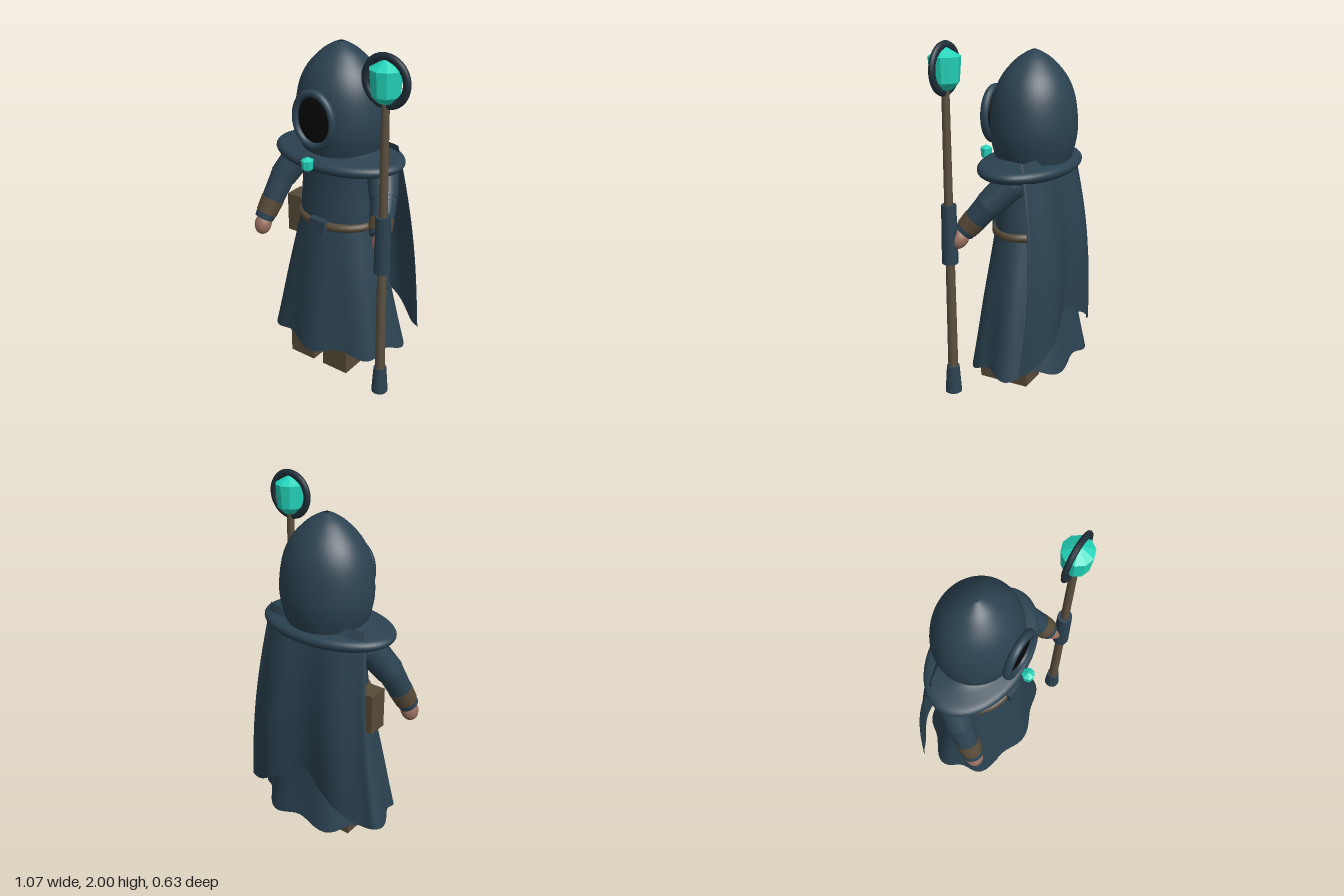
import * as THREE from 'three';
import { mergeVertices } from 'three/addons/utils/BufferGeometryUtils.js';

const mat = (name, color, extra = {}) => {
  const m = new THREE.MeshStandardMaterial({ color, ...extra });
  m.name = name;
  return m;
};
const cloth = mat('slate blue cloth', 0x2b4251, { side: THREE.DoubleSide });
const dark = mat('dark iron', 0x1f2e39);
const leather = mat('brown leather', 0x574a38);
const wood = mat('brown wood', 0x5b4f3f);
const skin = mat('skin', 0x9a7060);
const black = mat('shadow black', 0x060606);
const crystal = mat('teal crystal', 0x22d4ba, { flatShading: true });

const CX = -0.07; // body axis
const V = (x, y, z) => new THREE.Vector3(x, y, z);

export function createModel() {
  const root = new THREE.Group();

  const add = (name, geo, material, x = 0, y = 0, z = 0) => {
    const m = new THREE.Mesh(geo, material);
    m.name = name;
    m.position.set(x, y, z);
    root.add(m);
    return m;
  };

  // Moves each vertex by a rule, then rebuilds seamless smooth normals
  const warp = (geo, rule) => {
    const p = geo.attributes.position, v = V(0, 0, 0);
    for (let i = 0; i < p.count; i++) {
      rule(v.fromBufferAttribute(p, i));
      p.setXYZ(i, v.x, v.y, v.z);
    }
    geo.deleteAttribute('uv');
    geo.deleteAttribute('normal');
    const out = mergeVertices(geo, 1e-5);
    out.computeVertexNormals();
    return out;
  };

  // Smooth revolved profile squashed in depth; points are [radius, y] upward
  const lathe = (pts, depth, segs = 48, steps = 24) => {
    const curve = new THREE.SplineCurve(pts.map(([r, y]) => new THREE.Vector2(r, y)));
    return warp(new THREE.LatheGeometry(curve.getPoints(steps), segs), v => { v.z *= depth; });
  };

  // Tapered round limb between two points
  const limb = (name, a, b, ra, rb, material, sides = 16) => {
    const m = add(name, new THREE.CylinderGeometry(rb, ra, a.distanceTo(b), sides), material);
    m.position.copy(a).lerp(b, 0.5);
    m.quaternion.setFromUnitVectors(V(0, 1, 0), b.clone().sub(a).normalize());
    return m;
  };
  const ball = (name, p, r, material, sx = 1, sy = 1, sz = 1) => {
    const m = add(name, new THREE.SphereGeometry(r, 20, 14), material, p.x, p.y, p.z);
    m.scale.set(sx, sy, sz);
    return m;
  };

  // Hood with dark face opening and rolled rim
  add('hood', lathe([[0.215, 1.3], [0.25, 1.41], [0.262, 1.52], [0.242, 1.67], [0.192, 1.78],
    [0.112, 1.865], [0.05, 1.905], [0.015, 1.92]], 0.905), cloth, CX, 0, -0.05);
  ball('faceShadow', V(CX, 1.55, 0.187), 0.115, black, 0.95, 1.2, 0.2);
  const rim = add('hoodRim', new THREE.TorusGeometry(0.122, 0.018, 12, 40), cloth, CX, 1.55, 0.195);
  rim.scale.set(1, 1.2, 1.3);

  // Collar and clasp
  add('collar', lathe([[0.22, 1.25], [0.32, 1.25], [0.38, 1.267], [0.402, 1.295], [0.38, 1.32],
    [0.32, 1.332], [0.25, 1.345], [0.2, 1.37]], 0.64), cloth, CX, 0, -0.03);
  const gemGeo = (r, h, sides) => new THREE.LatheGeometry([[0, 0], [0.45, 0.01], [0.88, 0.18],
    [1, 0.77], [0, 1]].map(([a, b]) => new THREE.Vector2(a * r, b * h)), sides);
  add('claspGem', gemGeo(0.035, 0.08, 7), crystal, CX, 1.283, 0.255);

  // Torso and folded skirt, deeper at the back
  add('torso', lathe([[0.235, 0.9], [0.235, 0.97], [0.225, 1.1], [0.222, 1.22], [0.23, 1.3]], 0.72),
    cloth, CX, 0, -0.02);
  const skirtLine = new THREE.SplineCurve([[0.41, 0.15], [0.375, 0.3], [0.32, 0.55], [0.26, 0.8], [0.23, 0.93]]
    .map(([r, y]) => new THREE.Vector2(r, y)));
  add('skirt', warp(new THREE.LatheGeometry(skirtLine.getPoints(20), 84), v => {
    const a = Math.atan2(v.x, v.z), t = (0.93 - v.y) / 0.78;
    const fold = 1 + 0.055 * t * Math.cos(7 * a);
    v.x *= fold;
    v.z *= fold * (0.74 - 0.06 * t) * (v.z < 0 ? 1 + 0.11 * t : 1);
    v.y -= 0.02 * t * t * t * Math.cos(7 * a);
  }), cloth, CX, 0, -0.015);

  // Belt, buckle and pouch
  const belt = add('belt', new THREE.TorusGeometry(0.23, 0.025, 10, 48).rotateX(Math.PI / 2),
    leather, CX, 0.92, -0.02);
  belt.scale.z = 0.76;
  add('buckle', new THREE.BoxGeometry(0.1, 0.08, 0.04), cloth, CX, 0.92, 0.17);
  add('pouch', new THREE.BoxGeometry(0.15, 0.235, 0.12), leather, -0.327, 0.852, -0.025);

  // Cape: curved sheet widening downward, with broad folds and a hem rising at the middle
  add('cape', warp(new THREE.PlaneGeometry(2, 1, 72, 24), v => {
    const u = v.x, t = 0.5 - v.y;
    const a = u * Math.PI / 2, bulge = Math.sin(Math.PI * t);
    const fold = 0.027 * Math.sqrt(t) * Math.cos(u * 8.5) * (1 - u * u);
    const end = -0.13 - 0.06 * t - 0.05 * bulge;
    const mid = -0.17 - 0.115 * Math.sqrt(t) - 0.03 * bulge;
    const hem = 0.21 + 0.1 * (1 + Math.cos(Math.PI * Math.min(1, Math.abs(u) / 0.75)));
    v.x = CX + (0.32 + 0.13 * t) * Math.sin(a);
    v.z = end + (mid - end) * Math.cos(a) + fold;
    v.y = 1.37 + (hem - 1.37) * t;
  }), cloth);

  // Boots and legs
  for (const s of [-1, 1]) {
    add('boot', new THREE.BoxGeometry(0.17, 0.17, 0.3), leather, CX + s * 0.12, 0.085, 0.042);
    add('leg', new THREE.CylinderGeometry(0.075, 0.075, 0.5, 16), cloth, CX + s * 0.12, 0.4, -0.03);
  }

  // Arms: sleeve, forearm, leather cuff, trim and hand
  const arm = (shoulder, elbow, wrist, hand) => {
    const at = t => elbow.clone().lerp(wrist, t);
    ball('shoulder', shoulder, 0.088, cloth);
    limb('upperSleeve', shoulder, elbow, 0.088, 0.078, cloth);
    ball('elbow', elbow, 0.074, cloth);
    limb('forearmSleeve', elbow, at(0.7), 0.073, 0.064, cloth);
    limb('cuff', at(0.53), at(0.87), 0.069, 0.063, leather);
    limb('cuffTrim', at(0.85), wrist, 0.06, 0.057, cloth);
    const palm = ball('hand', hand, 0.05, skin, 1, 1.3, 1);
    palm.quaternion.setFromUnitVectors(V(0, 1, 0), hand.clone().sub(wrist).normalize());
  };
  arm(V(-0.345, 1.24, -0.05), V(-0.425, 1.08, 0.045), V(-0.478, 0.84, 0.165), V(-0.483, 0.802, 0.172));
  arm(V(0.205, 1.24, -0.05), V(0.28, 1.13, 0.045), V(0.338, 0.98, 0.165), V(0.358, 0.948, 0.18));

  // Staff with grip, foot, ring and crystal
  const SX = 0.394, SZ = 0.222;
  add('staffPole', new THREE.CylinderGeometry(0.021, 0.029, 1.72, 14), wood, SX, 0.9, SZ);
  add('staffGrip', new THREE.CylinderGeometry(0.041, 0.046, 0.33, 16), cloth, SX, 0.975, SZ);
  add('staffFoot', new THREE.CylinderGeometry(0.036, 0.047, 0.16, 14), cloth, SX, 0.105, SZ);
  const ring = add('staffRing', new THREE.TorusGeometry(0.119, 0.022, 10, 40), dark, SX, 1.86, SZ);
  ring.scale.z = 0.73;
  add('staffCrystal', gemGeo(0.085, 0.222, 10), crystal, SX, 1.753, SZ);

  return root;
}
